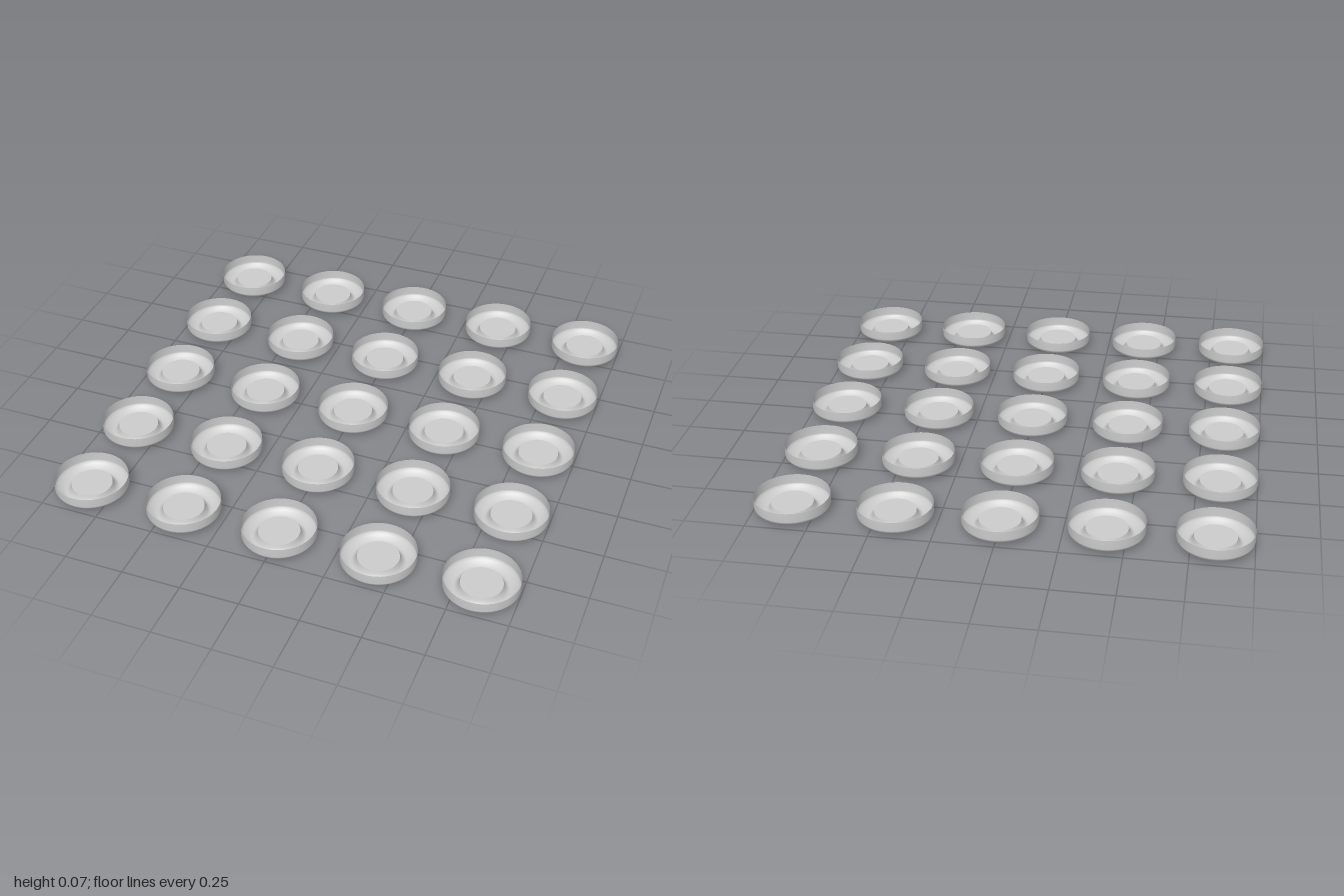
import * as THREE from 'three';

const COUNT = 5;
const SPACING = 0.423;
const RADIUS = 0.154;
const FLOOR_RADIUS = 0.085;
const FLOOR_HEIGHT = 0.034;

export function createModel() {
  const model = new THREE.Group();
  model.name = 'cupGrid';
  const material = new THREE.MeshStandardMaterial({ color: 0xcccccc, side: THREE.DoubleSide });

  // Thin shell: raised floor edge, rounded foot ring, then a straight wall
  const profile = [
    [FLOOR_RADIUS, FLOOR_HEIGHT], [0.089, 0.02], [0.096, 0.008], [0.104, 0.002], [0.112, 0],
    [0.122, 0.003], [0.134, 0.009], [0.145, 0.017], [0.152, 0.024], [RADIUS, 0.031], [RADIUS, 0.07],
  ].map(([r, y]) => new THREE.Vector2(r, y));
  const wallGeometry = new THREE.LatheGeometry(profile, 48);

  // Flat raised floor in the middle
  const floorGeometry = new THREE.CircleGeometry(FLOOR_RADIUS, 48)
    .rotateX(-Math.PI / 2)
    .translate(0, FLOOR_HEIGHT, 0);

  // Square grid of identical cups
  for (let row = 0; row < COUNT; row++) {
    for (let col = 0; col < COUNT; col++) {
      const cup = new THREE.Group();
      cup.name = `cup${row + 1}_${col + 1}`;
      const wall = new THREE.Mesh(wallGeometry, material);
      wall.name = 'wall';
      const floor = new THREE.Mesh(floorGeometry, material);
      floor.name = 'raisedFloor';
      cup.add(wall, floor);
      cup.position.set((col - (COUNT - 1) / 2) * SPACING, 0, (row - (COUNT - 1) / 2) * SPACING);
      model.add(cup);
    }
  }
  return model;
}
